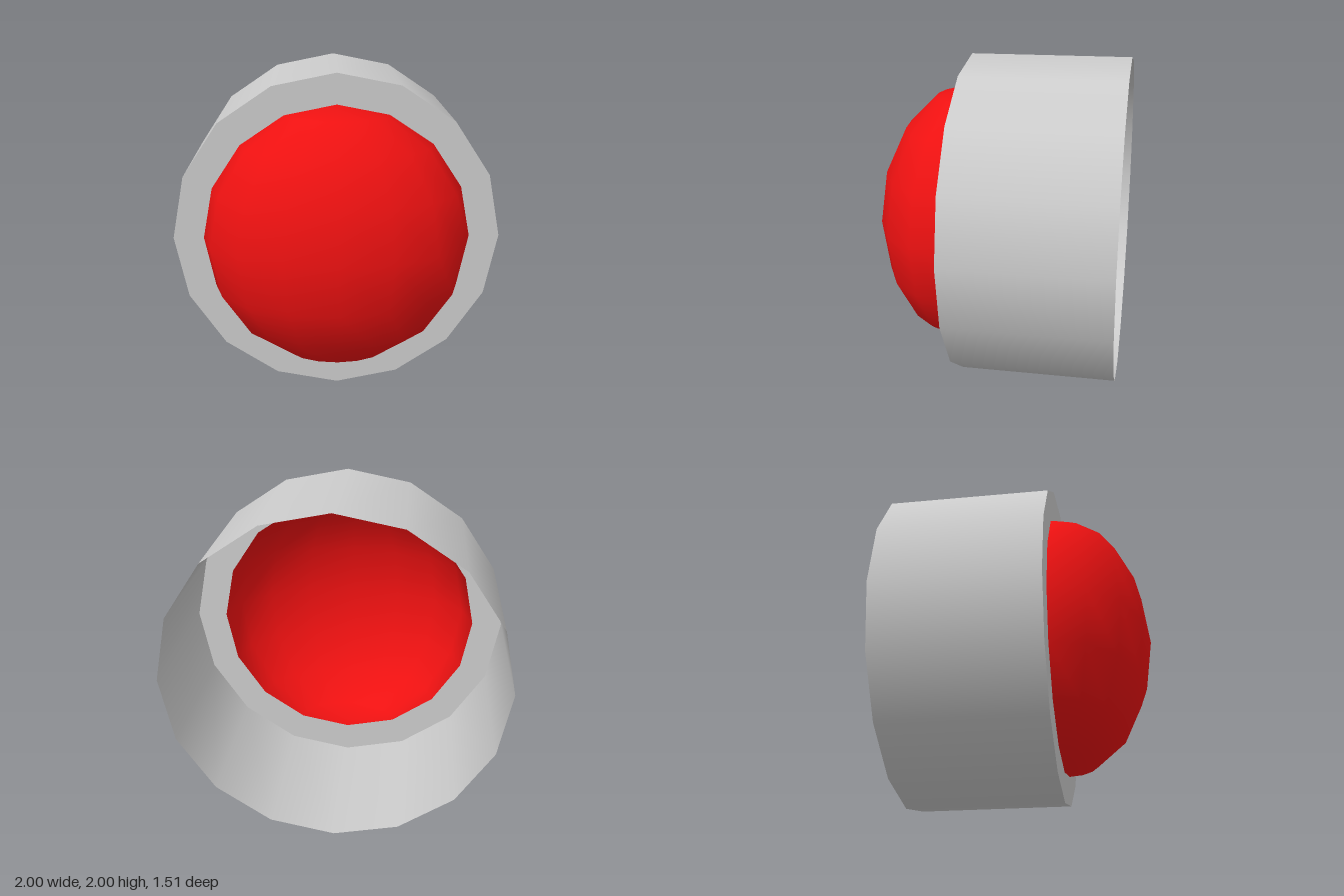
import * as THREE from 'three';

const SIDES = 16;
const RADIUS = 1;
const DOME_RADIUS = 0.815;
const BACK = -0.757;
const FACE = 0.2;
const DOME_DEPTH = 0.557;

export function createModel() {
  const group = new THREE.Group();
  group.name = 'domedLamp';
  const grey = new THREE.MeshStandardMaterial({ color: 0xcccccc, side: THREE.DoubleSide });
  const red = new THREE.MeshStandardMaterial({ color: 0xee1111, side: THREE.DoubleSide });

  const add = (name, geometry, material, z) => {
    const mesh = new THREE.Mesh(geometry, material);
    mesh.name = name;
    mesh.position.set(0, 1, z);
    group.add(mesh);
    return mesh;
  };

  // Thin round housing, open at the back
  const housing = new THREE.CylinderGeometry(RADIUS, RADIUS, FACE - BACK, SIDES, 1, true);
  housing.rotateX(Math.PI / 2);
  add('housing', housing, grey, (FACE + BACK) / 2);

  // Flat rim between the housing and the dome
  add('frontRim', new THREE.RingGeometry(DOME_RADIUS, RADIUS, SIDES), grey, FACE);

  // Hollow, flattened half sphere bulging forward
  const dome = new THREE.SphereGeometry(DOME_RADIUS, SIDES / 2, SIDES / 2, 0, Math.PI);
  dome.scale(1, 1, DOME_DEPTH / DOME_RADIUS);
  add('dome', dome, red, FACE);

  return group;
}
